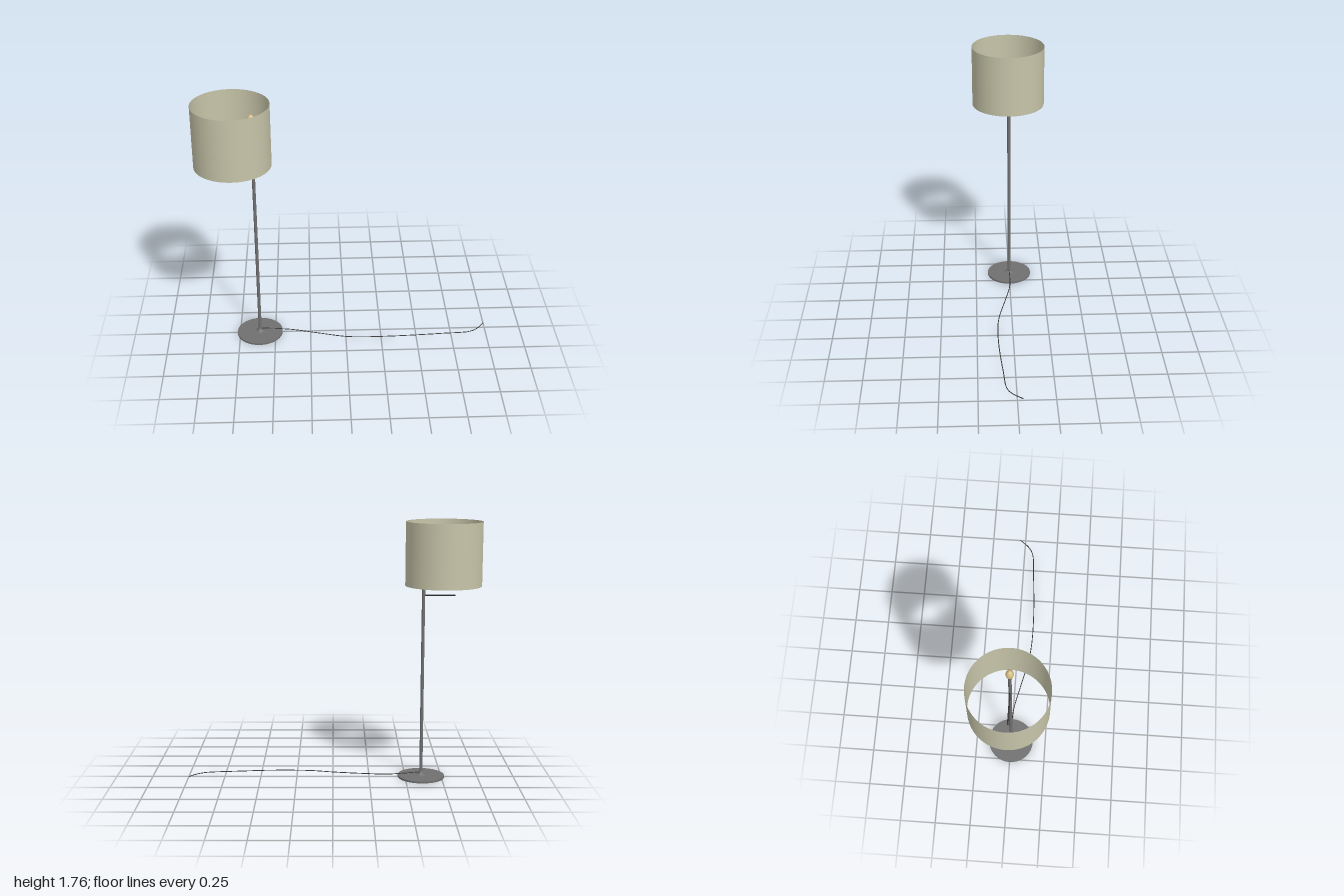
import * as THREE from 'three';

const POLE_X = -0.61;

function add(group, name, geometry, color, position = [0, 0, 0], side = THREE.FrontSide) {
  const mesh = new THREE.Mesh(geometry, new THREE.MeshStandardMaterial({ color, side }));
  mesh.name = name;
  mesh.position.set(...position);
  group.add(mesh);
  return mesh;
}

const lathe = (points, segments = 48) =>
  new THREE.LatheGeometry(points.map(([r, y]) => new THREE.Vector2(r, y)), segments);

export function createModel() {
  const model = new THREE.Group();
  const metal = 0x707070, dark = 0x333333;

  // Flat round foot
  add(model, 'base', new THREE.CylinderGeometry(0.16, 0.16, 0.013, 64), metal, [POLE_X, 0.0065, 0]);

  // Flared collar where the pole meets the foot
  add(model, 'collar', lathe([[0.042, 0.012], [0.028, 0.016], [0.019, 0.023], [0.014, 0.031], [0.011, 0.042]]),
    metal, [POLE_X, 0, 0]);

  // Upright pole and lamp socket
  add(model, 'pole', new THREE.CylinderGeometry(0.011, 0.011, 1.58, 24), metal, [POLE_X, 0.8, 0]);
  add(model, 'socket', new THREE.CylinderGeometry(0.014, 0.014, 0.04, 24), metal, [POLE_X, 1.58, 0]);

  // Egg-shaped bulb
  const bulb = add(model, 'bulb', new THREE.SphereGeometry(0.026, 32, 24), 0xd8c088, [POLE_X, 1.64, 0]);
  bulb.scale.y = 1.95;

  // Horizontal switch arm below the shade
  const arm = add(model, 'switchArm', new THREE.CylinderGeometry(0.005, 0.005, 0.215, 16), dark,
    [POLE_X - 0.1075, 1.27, 0]);
  arm.rotation.z = Math.PI / 2;

  // Open drum shade, set off-centre from the pole
  add(model, 'shade', new THREE.CylinderGeometry(0.257, 0.257, 0.43, 96, 1, true), 0xc6c4a8,
    [-0.743, 1.55, 0], THREE.DoubleSide);

  // Power cord trailing along the floor
  const path = new THREE.CatmullRomCurve3([
    [-0.605, 0.034, 0], [-0.5, 0.026, -0.003], [-0.38, 0.017, 0.002], [-0.2, 0.01, 0.04],
    [0, 0.006, 0.086], [0.15, 0.011, 0.103], [0.4, 0.014, 0.102], [0.7, 0.012, 0.081],
    [0.88, 0.01, 0.063], [0.94, 0.01, 0.03], [0.998, 0.01, -0.04],
  ].map((p) => new THREE.Vector3(...p)));
  add(model, 'cord', new THREE.TubeGeometry(path, 120, 0.003, 8), dark);

  return model;
}
